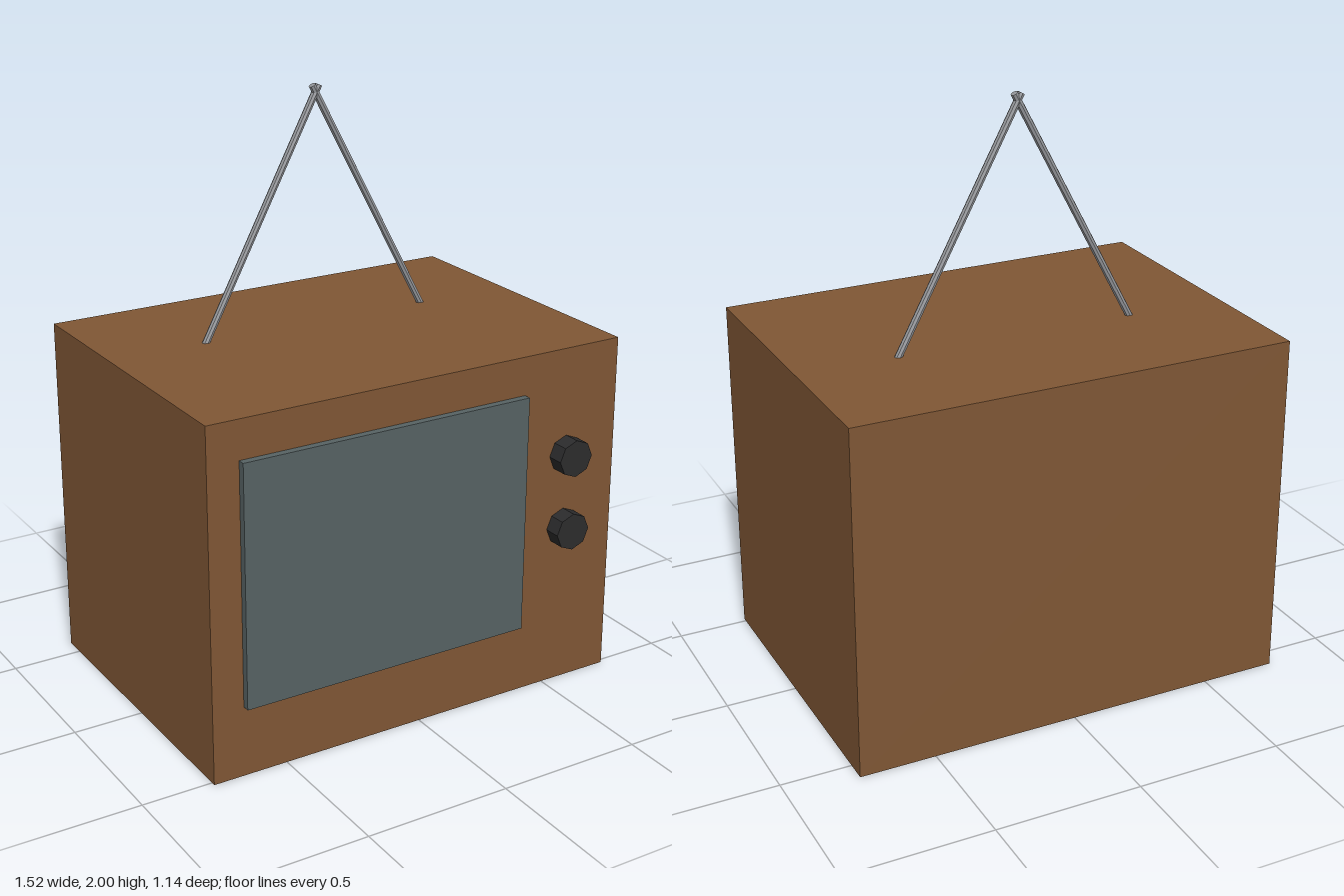
import * as THREE from 'three';

const material = (name, color) => {
  const m = new THREE.MeshStandardMaterial({ color, flatShading: true });
  m.name = name;
  return m;
};

export function createModel() {
  const wood = material('wood brown', 0x805735);
  const glass = material('screen grey', 0x576364);
  const black = material('knob black', 0x2c2c2d);
  const metal = material('antenna metal', 0x96989c);

  const model = new THREE.Group();
  model.name = 'television';
  const add = (name, geometry, mat, x, y, z) => {
    const mesh = new THREE.Mesh(geometry, mat);
    mesh.name = name;
    mesh.position.set(x, y, z);
    model.add(mesh);
    return mesh;
  };

  // Wooden case and raised screen
  const front = 0.515;
  add('case', new THREE.BoxGeometry(1.52, 1.196, 1.086), wood, 0, 0.598, front - 0.543);
  add('screen', new THREE.BoxGeometry(1.04, 0.822, 0.045), glass, -0.131, 0.654, front + 0.0025);

  // Two octagonal dials beside the screen
  const dial = new THREE.CylinderGeometry(0.064, 0.064, 0.078, 8).rotateX(Math.PI / 2);
  [['upperDial', 0.829], ['lowerDial', 0.568]].forEach(([name, y]) =>
    add(name, dial, black, 0.562, y, front + 0.019));

  // Two thin rods leaning inward and crossing at their tips
  [-1, 1].forEach((side) => {
    const base = new THREE.Vector3(side * 0.42, 1.186, -0.137);
    const tip = new THREE.Vector3(-side * 0.012, 1.994, -0.137);
    const along = tip.clone().sub(base);
    const rod = add(side < 0 ? 'rightAntenna' : 'leftAntenna',
      new THREE.CylinderGeometry(0.0125, 0.0125, along.length(), 8), metal,
      ...base.clone().add(tip).multiplyScalar(0.5).toArray());
    rod.quaternion.setFromUnitVectors(new THREE.Vector3(0, 1, 0), along.normalize());
  });

  return model;
}
